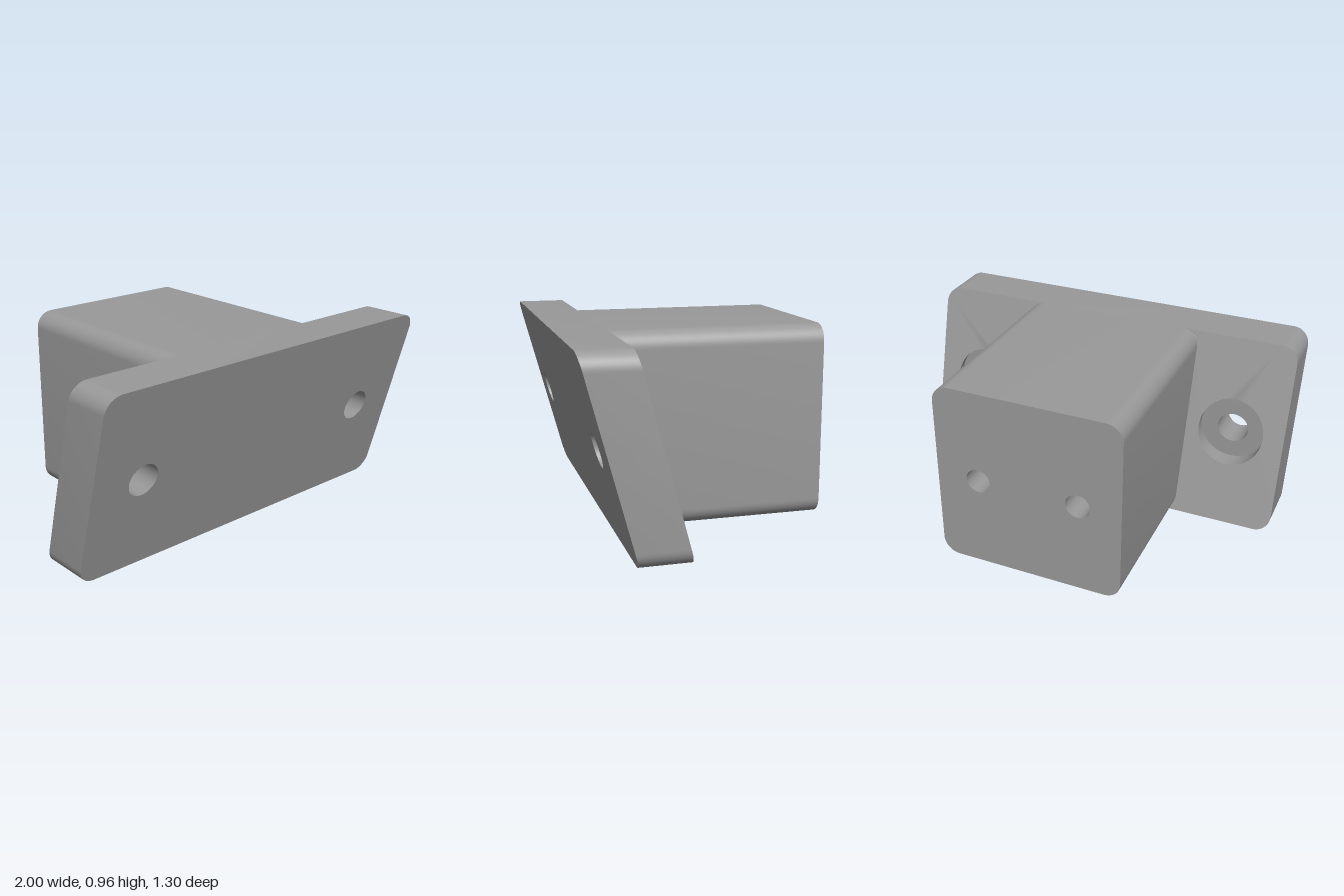
import * as THREE from 'three';
import { mergeGeometries, toCreasedNormals } from 'three/addons/utils/BufferGeometryUtils.js';

const H = 0.96, MID = H / 2, R = 0.085;         // height, hole height, corner radius
const BOX = 0.48, REAR = -0.65;                 // block half width and rear end
const SLOPE = 0.266;                            // lean of the plate
const front = y => 0.395 + SLOPE * y;
const back = y => 0.147 + SLOPE * y;
const flat = z => () => z;

// Counter-clockwise rounded rectangle standing on y = 0
function roundedRect(w) {
  const pts = [];
  const corners = [[w - R, R], [w - R, H - R], [R - w, H - R], [R - w, R]];
  corners.forEach(([cx, cy], k) => {
    for (let i = 0; i <= 12; i++) {
      const a = (k - 1 + i / 12) * Math.PI / 2;
      pts.push(new THREE.Vector2(cx + R * Math.cos(a), cy + R * Math.sin(a)));
    }
  });
  return pts;
}

function circle(x, r) {
  return Array.from({ length: 48 }, (_, i) => {
    const a = i / 48 * Math.PI * 2;
    return new THREE.Vector2(x + r * Math.cos(a), MID + r * Math.sin(a));
  });
}

// Face over an outline, with z given by height; flip makes it look to -z
function cap(outline, holes, z, flip) {
  const shape = new THREE.Shape(outline);
  shape.holes = holes.map(h => new THREE.Path(h));
  const g = new THREE.ShapeGeometry(shape);
  const p = g.attributes.position;
  for (let i = 0; i < p.count; i++) p.setZ(i, z(p.getY(i)));
  if (flip) g.index.array.reverse();
  g.deleteAttribute('uv');
  g.deleteAttribute('normal');
  return g.toNonIndexed();
}

// Side wall along a closed outline between two z rules; inward for holes
function wall(outline, z0, z1, inward) {
  const pts = inward ? outline.slice().reverse() : outline;
  const v = [];
  pts.forEach((a, i) => {
    const b = pts[(i + 1) % pts.length];
    const a0 = [a.x, a.y, z0(a.y)], a1 = [a.x, a.y, z1(a.y)];
    const b0 = [b.x, b.y, z0(b.y)], b1 = [b.x, b.y, z1(b.y)];
    v.push(...a0, ...b0, ...b1, ...a0, ...b1, ...a1);
  });
  const g = new THREE.BufferGeometry();
  g.setAttribute('position', new THREE.Float32BufferAttribute(v, 3));
  return g;
}

// Rear face of one wing of the plate, cut to fit around the block
function wingOutline(side) {
  const s = new THREE.Shape();
  s.moveTo(BOX - R, 0);
  s.lineTo(1 - R, 0);
  s.absarc(1 - R, R, R, -Math.PI / 2, 0, false);
  s.absarc(1 - R, H - R, R, 0, Math.PI / 2, false);
  s.lineTo(BOX - R, H);
  s.absarc(BOX - R, H - R, R, Math.PI / 2, 0, true);
  s.absarc(BOX - R, R, R, 0, -Math.PI / 2, true);
  return s.getPoints(12).map(p => new THREE.Vector2(p.x * side, p.y));
}

export function createModel() {
  const group = new THREE.Group();
  const grey = new THREE.MeshStandardMaterial({ color: 0x999999 });
  grey.name = 'grey';
  const add = (name, parts) => {
    const mesh = new THREE.Mesh(toCreasedNormals(mergeGeometries(parts), 0.5), grey);
    mesh.name = name;
    group.add(mesh);
  };

  // Leaning plate with two counterbored screw holes
  const screwX = 0.72, screwR = 0.081, boreR = 0.172, boreFloor = flat(0.325);
  const plate = roundedRect(1);
  const plateParts = [
    cap(plate, [-1, 1].map(s => circle(s * screwX, screwR)), front, false),
    wall(plate, back, front, false),
  ];
  for (const s of [-1, 1]) {
    const hole = circle(s * screwX, screwR), bore = circle(s * screwX, boreR);
    plateParts.push(
      cap(wingOutline(s), [bore], back, true),
      wall(bore, back, boreFloor, true),
      cap(bore, [hole], boreFloor, true),
      wall(hole, boreFloor, front, true),
    );
  }
  add('mountingPlate', plateParts);

  // Block behind the plate with two blind holes in its rear face
  const block = roundedRect(BOX);
  const blind = [-1, 1].map(s => circle(s * 0.26, 0.063));
  const blindEnd = flat(REAR + 0.45);
  add('block', [
    wall(block, flat(REAR), back, false),
    cap(block, blind, flat(REAR), true),
    ...blind.flatMap(h => [wall(h, flat(REAR), blindEnd, true), cap(h, [], blindEnd, true)]),
  ]);

  return group;
}
